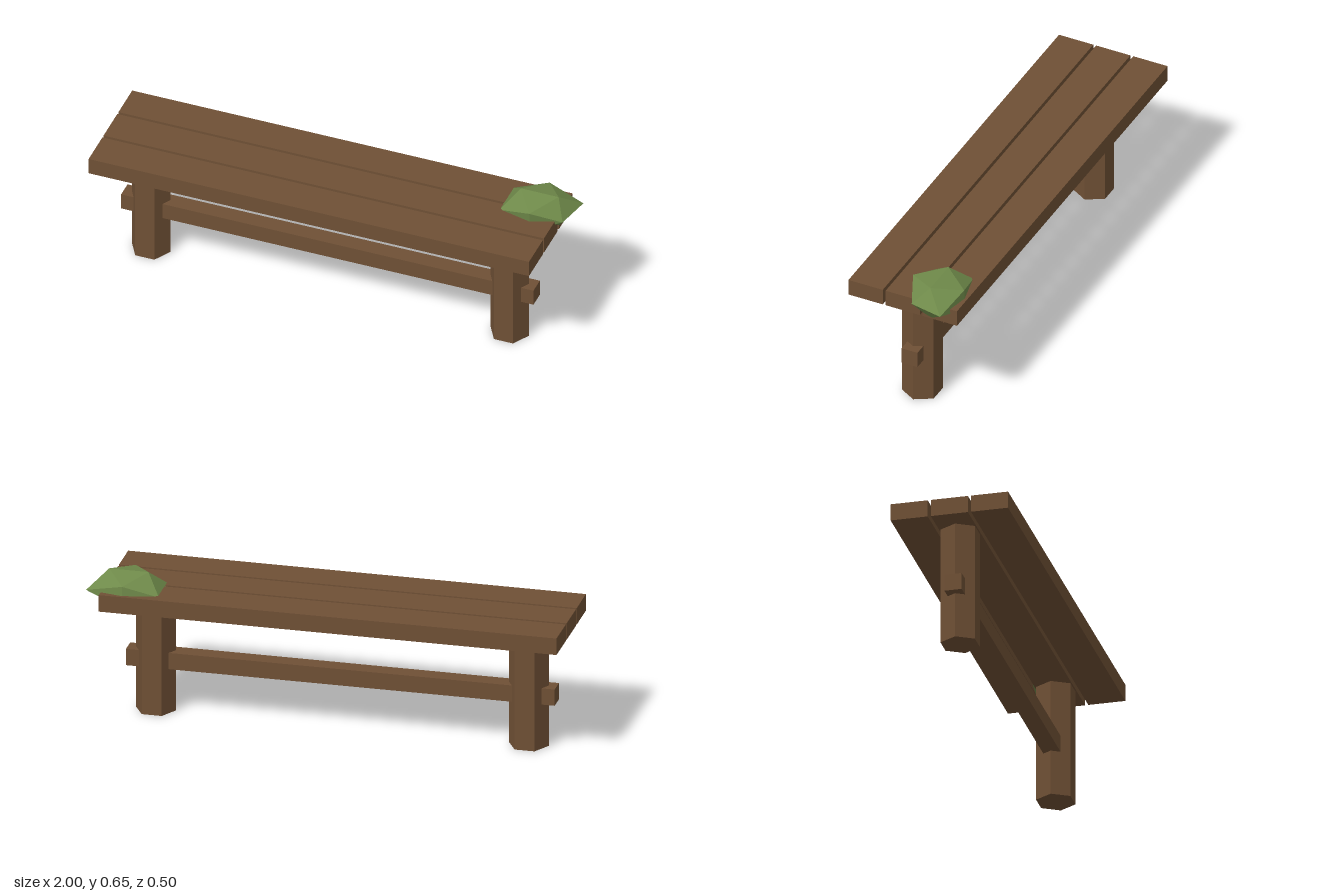
import * as THREE from 'three';
import { ConvexGeometry } from 'three/addons/geometries/ConvexGeometry.js';

export function createModel() {
  const model = new THREE.Group();
  model.name = 'bench';

  const wood = new THREE.MeshStandardMaterial({ color: 0x6f5035, flatShading: true });
  wood.name = 'brown wood';
  const leaf = new THREE.MeshStandardMaterial({ color: 0x6f8a4a, flatShading: true });
  leaf.name = 'moss green';

  const add = (name, geometry, material, x, y, z) => {
    const mesh = new THREE.Mesh(geometry, material);
    mesh.name = name;
    mesh.position.set(x, y, z);
    model.add(mesh);
    return mesh;
  };

  // Three seat planks with narrow gaps
  const plank = new THREE.BoxGeometry(1.935, 0.073, 0.157);
  ['backPlank', 'middlePlank', 'frontPlank'].forEach((name, i) =>
    add(name, plank, wood, -0.0325, 0.5465, (i - 1) * 0.17));

  // Six-sided legs, flat faces to front and back
  const leg = new THREE.CylinderGeometry(0.084, 0.084, 0.51, 6, 1, false, Math.PI / 2);
  add('rightLeg', leg, wood, -0.821, 0.255, 0);
  add('leftLeg', leg, wood, 0.755, 0.255, 0);

  // Stretcher passing through both legs
  add('stretcher', new THREE.BoxGeometry(1.812, 0.072, 0.073), wood, -0.033, 0.231, 0);

  // Faceted moss clump: a squashed, slightly uneven twenty-sided lump
  const corners = [
    [-0.083, 0.074, 0], [0.083, 0.074, 0],
    [-0.083, -0.075, 0], [0.083, -0.075, 0],
    [0, 0.05, 0.12], [0, 0.045, -0.114],
    [0, -0.046, 0.106], [0, -0.046, -0.12],
    [-0.148, 0, 0.077], [-0.148, 0, -0.083],
    [0.125, 0, 0.064], [0.16, 0.004, -0.083],
  ].map((p) => new THREE.Vector3(...p));
  add('mossClump', new ConvexGeometry(corners), leaf, 0.84, 0.578, -0.12);

  return model;
}
